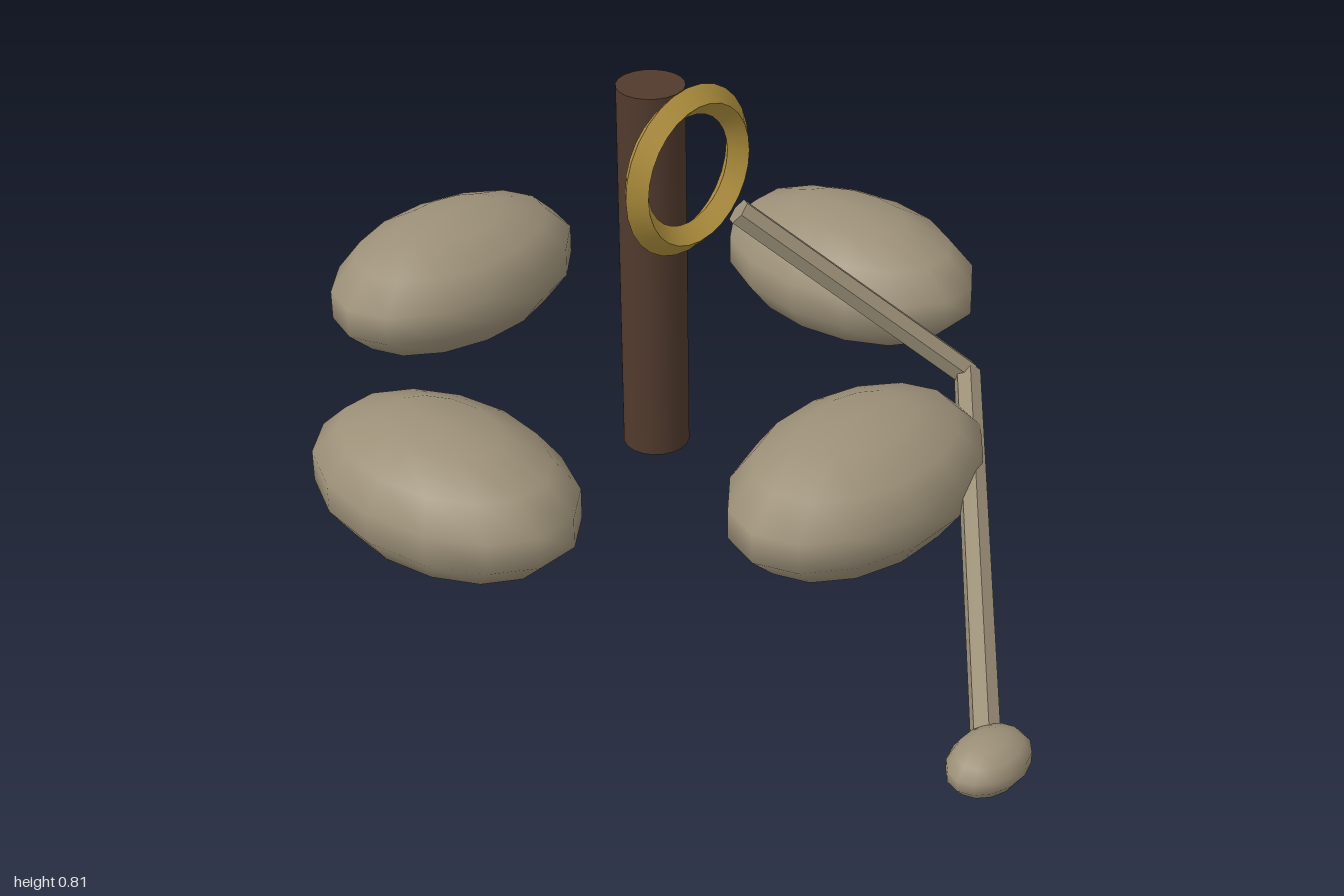
import * as THREE from 'three';
import { toCreasedNormals } from 'three/addons/utils/BufferGeometryUtils.js';

const paint = (name, color) => {
  const m = new THREE.MeshStandardMaterial({ color });
  m.name = name;
  return m;
};

export function createModel() {
  const stone = paint('grey brown', 0x9c9078);
  const brass = paint('brass', 0xb0903e);
  const wood = paint('dark brown', 0x513a2d);
  const group = new THREE.Group();

  const add = (name, geometry, material, x, y, z) => {
    const mesh = new THREE.Mesh(geometry, material);
    mesh.name = name;
    mesh.position.set(x, y, z);
    group.add(mesh);
    return mesh;
  };

  // A smooth ellipsoid with the given half sizes
  const ellipsoid = (name, [x, y, z], [rx, ry, rz]) =>
    add(name, new THREE.SphereGeometry(1, 14, 7).scale(rx, ry, rz), stone, x, y, z);

  // A hexagonal rod between two points
  const rod = (name, from, to, radius) => {
    const a = new THREE.Vector3(...from), b = new THREE.Vector3(...to);
    const dir = b.clone().sub(a);
    const geometry = toCreasedNormals(new THREE.CylinderGeometry(radius, radius, dir.length(), 6), 0.5);
    const mid = a.clone().add(b).multiplyScalar(0.5);
    const mesh = add(name, geometry, stone, mid.x, mid.y, mid.z);
    mesh.quaternion.setFromUnitVectors(new THREE.Vector3(0, 1, 0), dir.normalize());
  };

  // Central post
  add('post', new THREE.CylinderGeometry(0.067, 0.067, 0.79, 20), wood, 0, 0.395, -0.22);

  // Ring with a diamond section, hung in front of the post
  add('ring', toCreasedNormals(new THREE.TorusGeometry(0.142, 0.03, 4, 28), 0.5), brass, 0, 0.64, -0.125);

  // Four rounded stones about the post
  ellipsoid('frontStone', [-0.06, 0.175, 0.35], [0.305, 0.14, 0.2]);
  ellipsoid('backStone', [-0.005, 0.175, -0.8], [0.305, 0.14, 0.2]);
  ellipsoid('leftStone', [0.577, 0.175, -0.19], [0.2, 0.14, 0.307]);
  ellipsoid('rightStone', [-0.577, 0.175, -0.215], [0.2, 0.14, 0.307]);

  // Bent limb running down through the front stone to a small foot
  const knee = [0.32, 0.222, 0.317];
  rod('upperLimb', [0.002, 0.595, 0], knee, 0.027);
  rod('lowerLimb', knee, [-0.385, 0.055, 0.9], 0.027);
  ellipsoid('foot', [-0.422, 0.048, 0.935], [0.09, 0.048, 0.064]);

  return group;
}
